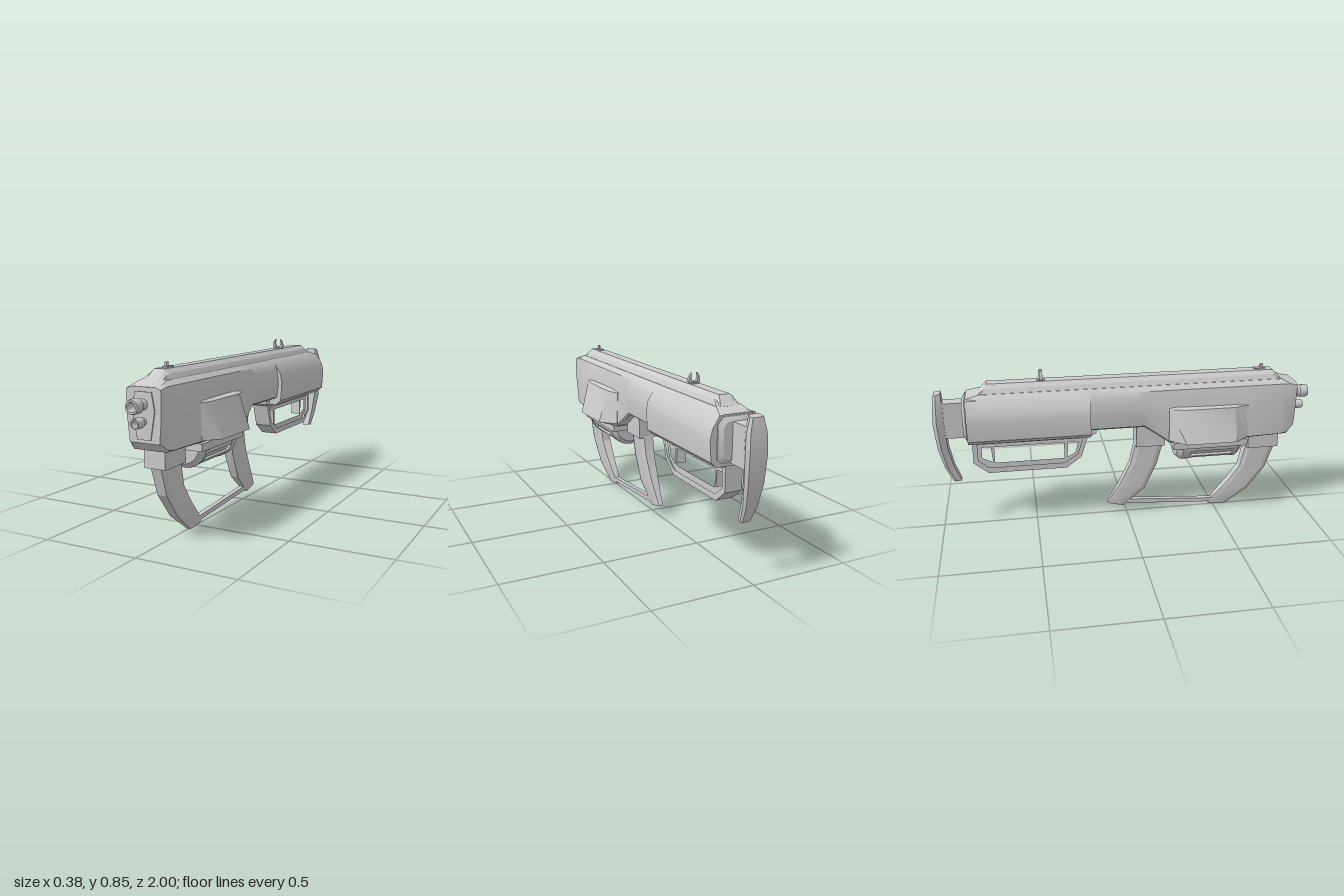
import * as THREE from 'three';
import { toCreasedNormals } from 'three/addons/utils/BufferGeometryUtils.js';

const mat = new THREE.MeshStandardMaterial({ color: 0xcccccc });

export function createModel() {
  const model = new THREE.Group();

  const add = (name, geo, crease = 0.5, parent = model) => {
    const mesh = new THREE.Mesh(toCreasedNormals(geo, crease), mat);
    mesh.name = name;
    parent.add(mesh);
    return mesh;
  };
  const box = (name, w, y0, y1, z0, z1) =>
    add(name, new THREE.BoxGeometry(2 * w, y1 - y0, z1 - z0).translate(0, (y0 + y1) / 2, (z0 + z1) / 2));

  // Skin closed rings of [x, y, z], each counter-clockwise seen from the next ring
  const loft = (rings) => {
    const n = rings[0].length, pos = rings.flat(2), idx = [];
    for (let i = 0; i < rings.length - 1; i++) {
      for (let j = 0; j < n; j++) {
        const a = i * n + j, b = i * n + (j + 1) % n;
        idx.push(a, b, b + n, a, b + n, a + n);
      }
    }
    [0, rings.length - 1].forEach((r) => {
      const c = pos.length / 3;
      for (let k = 0; k < 3; k++) pos.push(rings[r].reduce((s, p) => s + p[k], 0) / n);
      for (let j = 0; j < n; j++) {
        const a = r * n + j, b = r * n + (j + 1) % n;
        if (r) idx.push(c, a, b); else idx.push(c, b, a);
      }
    });
    const g = new THREE.BufferGeometry();
    g.setAttribute('position', new THREE.Float32BufferAttribute(pos, 3));
    g.setIndex(idx);
    return g;
  };
  // Ring at depth z from a right-hand profile listed bottom to top
  const ring = (z, half) => [
    ...half.map(([x, y]) => [x, y, z]),
    ...half.slice().reverse().map(([x, y]) => [-x, y, z]),
  ];
  // Side outline of [z, y] points extruded across the width
  const outline = (pts) => pts.map((p) => new THREE.Vector2(...p));
  const plate = (pts, w, holes = []) => {
    const shape = new THREE.Shape(outline(pts));
    shape.holes = holes.map((h) => new THREE.Path(outline(h)));
    return new THREE.ExtrudeGeometry(shape, { depth: 2 * w, bevelEnabled: false })
      .translate(0, 0, -w).rotateY(-Math.PI / 2);
  };

  // Main body, stations from back to front
  const roof = [[0.09, 0.735], [0.065, 0.757]];
  const mid = [[0.09, 0.54], [0.105, 0.55], [0.115, 0.62], [0.105, 0.7], ...roof];
  add('body', loft([
    ring(-0.22, mid), ring(0.05, mid),
    ring(0.08, [[0.09, 0.54], [0.1, 0.55], [0.108, 0.62], [0.1, 0.7], ...roof]),
    ring(0.21, [[0.1, 0.45], [0.112, 0.46], [0.108, 0.6], [0.097, 0.7], ...roof]),
    ring(0.62, [[0.11, 0.45], [0.125, 0.46], [0.12, 0.6], [0.098, 0.7], ...roof]),
    ring(0.83, [[0.09, 0.45], [0.1, 0.455], [0.1, 0.6], [0.096, 0.7], ...roof]),
    ring(0.87, [[0.085, 0.45], [0.092, 0.46], [0.094, 0.6], [0.094, 0.7], [0.09, 0.735], [0.065, 0.74]]),
    ring(0.91, [[0.07, 0.49], [0.078, 0.495], [0.088, 0.6], [0.09, 0.7], [0.088, 0.725], [0.06, 0.735]]),
  ]));

  // Wider rear shell and its end core
  const shell = [[0.1, 0.505], [0.128, 0.53], [0.135, 0.63], [0.125, 0.68], [0.09, 0.735], [0.065, 0.757]];
  add('rearShell', loft([
    ring(-0.83, shell.map(([x, y]) => [x, Math.min(y, 0.738)])),
    ring(-0.76, shell), ring(-0.205, shell),
  ]));
  const core = (s) => [[0.08 * s, 0.63 - 0.11 * s], [0.1 * s, 0.63 - 0.09 * s], [0.1 * s, 0.63 + 0.07 * s], [0.075 * s, 0.63 + 0.1 * s]];
  add('rearCore', loft([ring(-0.85, core(0.8)), ring(-0.835, core(1)), ring(-0.8, core(1))]));
  add('underRail', plate([[-0.17, 0.54], [-0.17, 0.51], [-0.2, 0.495], [-0.81, 0.495], [-0.82, 0.54]], 0.06));

  // Flared side pods
  const pod = (w, t) => [[0.1, 0.445], [w, 0.462], [t, 0.635], [0.09, 0.65]];
  add('sidePods', loft([
    ring(0.21, pod(0.115, 0.108)), ring(0.29, pod(0.19, 0.132)),
    ring(0.56, pod(0.19, 0.132)), ring(0.64, pod(0.125, 0.112)),
  ]));

  // Stepped top rail
  const rail = (s) => [[0.065, 0.75], [0.05, 0.755 + 0.025 * s], [0.045, 0.755 + 0.03 * s], [0.028, 0.756 + 0.044 * s]];
  add('topRail', loft([ring(-0.765, rail(0)), ring(-0.72, rail(1)), ring(0.785, rail(1)), ring(0.83, rail(0))]), 0.3);

  // Sights: a forked rear one and a small front post
  const fork = new THREE.Shape();
  fork.moveTo(0, 0.795);
  fork.quadraticCurveTo(0.03, 0.795, 0.03, 0.815);
  fork.quadraticCurveTo(0.028, 0.835, 0.015, 0.852);
  fork.quadraticCurveTo(0.024, 0.812, 0, 0.808);
  fork.quadraticCurveTo(-0.024, 0.812, -0.015, 0.852);
  fork.quadraticCurveTo(-0.028, 0.835, -0.03, 0.815);
  fork.quadraticCurveTo(-0.03, 0.795, 0, 0.795);
  add('rearSight', new THREE.ExtrudeGeometry(fork, { depth: 0.016, bevelEnabled: false, curveSegments: 6 }).translate(0, 0, -0.453));
  box('rearSightBase', 0.016, 0.795, 0.806, -0.465, -0.425);
  box('frontSightBase', 0.012, 0.795, 0.807, 0.69, 0.75);
  box('frontSightPost', 0.005, 0.8, 0.826, 0.722, 0.738);

  // Muzzle plate and two hollow barrels
  const face = new THREE.Shape(outline([[-0.035, 0.505], [0.035, 0.505], [0.058, 0.635], [0.043, 0.715], [-0.043, 0.715], [-0.058, 0.635]]));
  add('muzzlePlate', new THREE.ExtrudeGeometry(face, { depth: 0.01, bevelEnabled: false }).translate(0, 0, 0.905));
  const barrel = (name, y, r, end) => {
    const pts = [[0.7, 0.9], [0.7, end - 0.055], [1, end - 0.045], [1, end - 0.008], [0.92, end], [0.66, end], [0.6, end - 0.01], [0.5, end - 0.06], [0, end - 0.06]];
    add(name, new THREE.LatheGeometry(pts.map(([f, z]) => new THREE.Vector2(f * r, z)), 16).rotateX(Math.PI / 2).translate(0, y, 0), 0.6);
  };
  barrel('upperBarrel', 0.66, 0.034, 1);
  barrel('lowerBarrel', 0.585, 0.024, 0.98);

  // Curved grips: rows of [half width, front z, front y, back z, back y], bottom to top
  const grip = (name, rows) => add(name, loft(rows.map(([w, zf, yf, zb, yb]) => {
    const c = 0.15, at = (x, t) => [x, yf + (yb - yf) * t, zf + (zb - zf) * t];
    return [at(w * 0.8, 0), at(w, c), at(w, 1 - c), at(w * 0.8, 1), at(-w * 0.8, 1), at(-w, 1 - c), at(-w, c), at(-w * 0.8, 0)];
  })), 0.25);
  grip('frontGrip', [
    [0.012, 0.566, 0.002, 0.47, 0.012], [0.02, 0.63, 0.052, 0.5, 0.065], [0.027, 0.69, 0.097, 0.576, 0.15],
    [0.031, 0.786, 0.225, 0.64, 0.24], [0.034, 0.834, 0.37, 0.668, 0.37],
  ]);
  grip('rearGrip', [
    [0.014, -0.02, 0.043, -0.11, 0.065], [0.026, 0.1, 0.15, -0.04, 0.18],
    [0.031, 0.163, 0.29, 0.018, 0.3], [0.034, 0.196, 0.42, 0.045, 0.42],
  ]);
  box('frontGripCollar', 0.055, 0.36, 0.455, 0.67, 0.84);
  box('rearGripCollar', 0.055, 0.41, 0.58, 0.045, 0.2);
  add('gripBar', plate([[0.53, 0.02], [0.53, 0.042], [-0.01, 0.08], [-0.01, 0.055]], 0.013));

  // Half-round magazine with raised end rims and ribs
  box('magazinePlate', 0.124, 0.41, 0.447, 0.235, 0.64);
  const arc = (r, z) => Array.from({ length: 17 }, (_, i) => {
    const a = Math.PI + (i / 16) * Math.PI;
    return [r * Math.cos(a), 0.43 + r * Math.sin(a), z];
  });
  add('magazine', loft([
    arc(0.095, 0.262), arc(0.119, 0.29), arc(0.119, 0.335), arc(0.105, 0.335),
    arc(0.105, 0.57), arc(0.119, 0.57), arc(0.119, 0.59), arc(0.095, 0.617),
  ]));
  [-75, -40, 0, 40, 75].forEach((d) => {
    const a = THREE.MathUtils.degToRad(d);
    const rib = add('magazineRib', new THREE.BoxGeometry(0.028, 0.02, 0.25));
    rib.position.set(Math.sin(a) * 0.106, 0.43 - Math.cos(a) * 0.106, 0.452);
    rib.rotation.z = a;
  });

  // Rear carrying loop with an inner web
  add('rearLoop', plate(
    [[-0.21, 0.5], [-0.25, 0.375], [-0.33, 0.315], [-0.74, 0.315], [-0.815, 0.375], [-0.815, 0.5]], 0.045,
    [[[-0.24, 0.48], [-0.27, 0.39], [-0.34, 0.345], [-0.735, 0.345], [-0.79, 0.39], [-0.79, 0.48]]]));
  add('rearLoopWeb', plate(
    [[-0.225, 0.49], [-0.26, 0.38], [-0.335, 0.33], [-0.74, 0.33], [-0.8, 0.38], [-0.8, 0.49]], 0.03, [
      [[-0.34, 0.455], [-0.34, 0.365], [-0.705, 0.365], [-0.705, 0.455]],
      [[-0.265, 0.455], [-0.28, 0.395], [-0.325, 0.37], [-0.318, 0.455]],
      [[-0.722, 0.455], [-0.715, 0.37], [-0.77, 0.395], [-0.77, 0.455]],
    ]));

  // Shoulder stock: neck and tapered curved butt plate
  box('stockNeck', 0.035, 0.52, 0.71, -0.95, -0.82);
  // rows of [y front, front z, y back, back z, half width front, half width back]
  add('buttPlate', loft([
    [0.27, -0.885, 0.27, -0.925, 0.018, 0.024], [0.36, -0.918, 0.35, -0.962, 0.026, 0.036],
    [0.46, -0.938, 0.46, -0.988, 0.034, 0.05], [0.6, -0.945, 0.6, -1, 0.04, 0.056],
    [0.69, -0.945, 0.69, -0.995, 0.038, 0.052], [0.762, -0.95, 0.755, -0.985, 0.026, 0.034],
  ].map(([yf, zf, yb, zb, wf, wb]) => {
    const zm = zb + (zf - zb) * 0.35;
    return [[wf, yf, zf], [wb, yb, zm], [wb * 0.8, yb, zb], [-wb * 0.8, yb, zb], [-wb, yb, zm], [-wf, yf, zf]];
  })), 0.45);

  return model;
}
